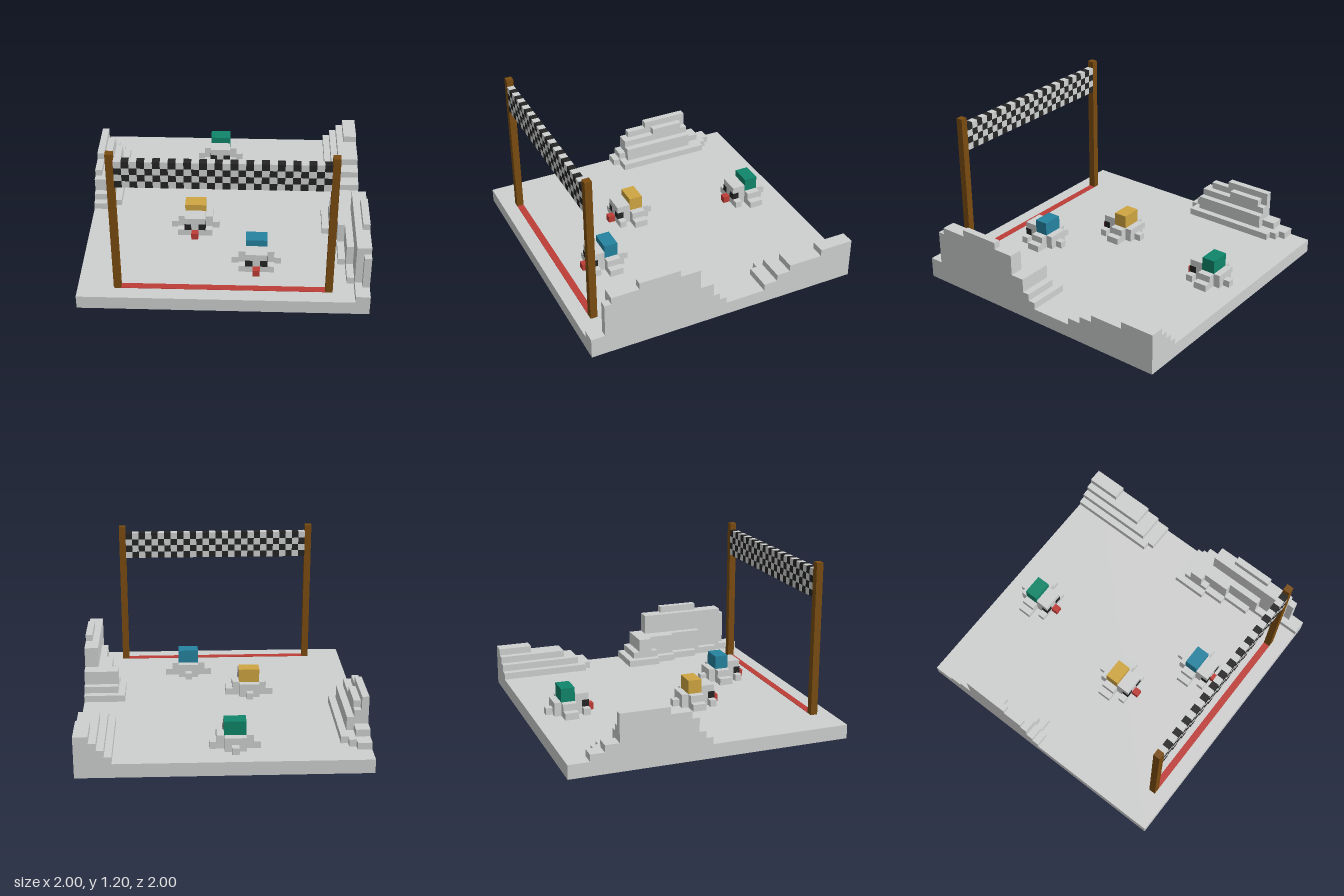
import * as THREE from 'three';

const mat = (name, color) => {
  const m = new THREE.MeshStandardMaterial({ color });
  m.name = name;
  return m;
};

export function createModel() {
  const root = new THREE.Group();
  root.name = 'sledRaceTrack';
  const snow = mat('snow', 0xcfd1d0), black = mat('black', 0x242424), wood = mat('wood', 0x7a4c10);
  const red = mat('red', 0xbe3d37), gold = mat('gold', 0xcfa641);
  const teal = mat('teal', 0x10866a), blue = mat('blue', 0x2483a0);

  // Box given by its two corners
  const box = (parent, name, m, x0, x1, y0, y1, z0, z1) => {
    const mesh = new THREE.Mesh(new THREE.BoxGeometry(x1 - x0, y1 - y0, z1 - z0), m);
    mesh.position.set((x0 + x1) / 2, (y0 + y1) / 2, (z0 + z1) / 2);
    mesh.name = name;
    parent.add(mesh);
    return mesh;
  };

  const group = (name) => {
    const g = new THREE.Group();
    g.name = name;
    root.add(g);
    return g;
  };

  // Ground slab
  box(root, 'ground', snow, -1, 1, 0, 0.1, -1, 1);

  // Snow banks made of terraces: inner edge |x|, z range, top height
  const bank = (name, side, terraces) => {
    const g = group(name);
    for (const [inner, z0, z1, top] of terraces) {
      const a = side * inner;
      box(g, 'terrace', snow, Math.min(a, side), Math.max(a, side), 0.1, top, z0, z1);
    }
  };
  bank('frontLeftBank', 1, [
    [0.7, 0, 0.25, 0.15], [0.75, 0.25, 0.4, 0.15], [0.8, 0.4, 0.6, 0.15],
    [0.85, 0.6, 0.8, 0.15], [0.9, 0.8, 1, 0.15],
    [0.75, 0.05, 0.25, 0.2], [0.75, 0.1, 0.2, 0.3], [0.8, 0.2, 0.4, 0.3],
    [0.85, 0.4, 0.65, 0.3], [0.9, 0.2, 0.85, 0.45],
    [0.95, 0.35, 0.65, 0.5], [0.95, 0.85, 0.9, 0.4],
  ]);
  bank('backLeftBank', 1, [
    [0.75, -1, -0.35, 0.15], [0.8, -1, -0.3, 0.15], [0.8, -1, -0.4, 0.2],
    [0.85, -1, -0.5, 0.25], [0.9, -1, -0.75, 0.3],
  ]);
  bank('rightBank', -1, [
    [0.8, -0.75, -0.05, 0.15], [0.9, -0.85, 0, 0.15], [0.85, -0.8, -0.05, 0.15],
    [0.9, -0.75, -0.05, 0.2], [0.85, -0.65, -0.1, 0.25], [0.9, -0.65, -0.1, 0.3],
    [0.9, -0.6, -0.35, 0.35], [0.95, -0.65, -0.15, 0.35], [0.95, -0.65, -0.3, 0.4],
  ]);

  // Finish gate: two posts and a chequered banner
  const gate = group('finishGate');
  for (const s of [-1, 1]) box(gate, 'post', wood, s * 0.725 - 0.025, s * 0.725 + 0.025, 0.1, 1.2, 0.85, 0.9);
  for (let row = 0; row < 4; row++) {
    for (let col = 0; col < 28; col++) {
      const x = -0.7 + col * 0.05, y = 0.95 + row * 0.05;
      box(gate, 'bannerSquare', (row + col) % 2 ? snow : black, x, x + 0.05, y, y + 0.05, 0.85, 0.9);
    }
  }
  box(gate, 'finishLine', red, -0.7, 0.7, 0.1, 0.103, 0.85, 0.9);

  // Racers: small sliding birds with coloured packs
  const racer = (name, packMat, x, z) => {
    const g = group(name);
    g.position.set(x, 0.1, z);
    box(g, 'body', snow, -0.075, 0.075, 0, 0.1, -0.1, 0.05);
    box(g, 'head', snow, -0.075, 0.075, 0, 0.15, 0.05, 0.15);
    box(g, 'pack', packMat, -0.075, 0.075, 0.1, 0.2, -0.05, 0.05);
    box(g, 'tail', snow, -0.025, 0.025, 0, 0.05, -0.15, -0.1);
    box(g, 'beak', red, -0.025, 0.025, 0, 0.05, 0.15, 0.2);
    for (const s of [-1, 1]) {
      const part = (label, m, cx, w, y0, y1, z0, z1) =>
        box(g, label, m, s * cx - w / 2, s * cx + w / 2, y0, y1, z0, z1);
      part('shoulder', snow, 0.1, 0.05, 0, 0.1, -0.05, 0.05);
      part('wingTip', snow, 0.15, 0.05, 0, 0.05, -0.05, 0.05);
      part('foot', snow, 0.1, 0.05, 0, 0.05, 0.1, 0.15);
      part('eye', black, 0.052, 0.05, 0.05, 0.1, 0.102, 0.152);
    }
  };
  racer('goldRacer', gold, -0.225, 0.15);
  racer('blueRacer', blue, 0.225, 0.55);
  racer('tealRacer', teal, -0.075, -0.75);

  return root;
}
